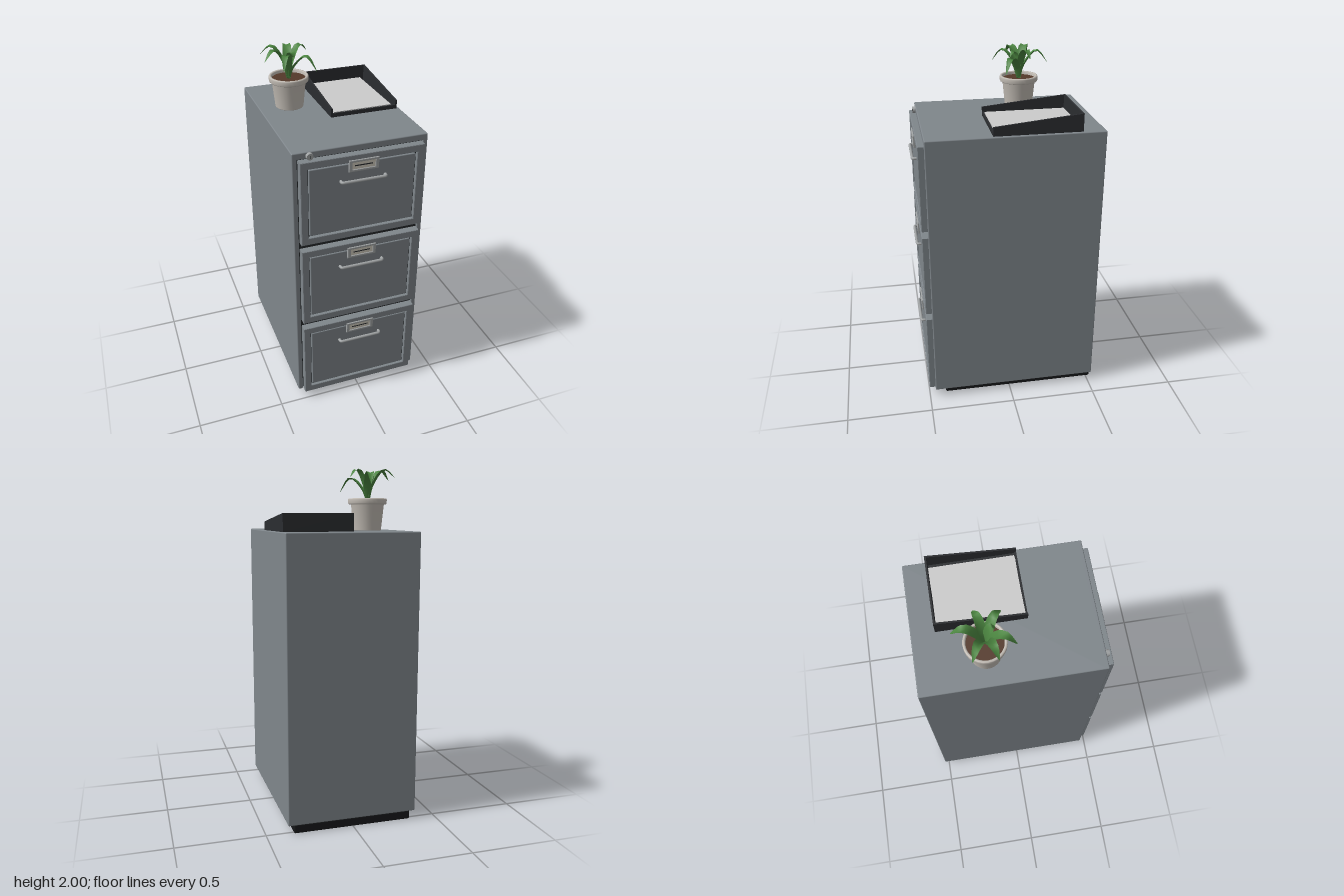
import * as THREE from 'three';
import { RoundedBoxGeometry } from 'three/addons/geometries/RoundedBoxGeometry.js';

const mat = (color, side = THREE.FrontSide) => new THREE.MeshStandardMaterial({ color, side });
const steel = mat(0x7f868b), dark = mat(0x25282b), black = mat(0x17181a), metal = mat(0xa0a3a4);
const card = mat(0xcfcabd), trayMat = mat(0x2b2d30), paper = mat(0xcccccc);
const potMat = mat(0xc4beb6, THREE.DoubleSide), soilMat = mat(0x54392a);
const leafMat = mat(0x4b8540, THREE.DoubleSide);

function add(parent, name, geometry, material, x = 0, y = 0, z = 0) {
  const mesh = new THREE.Mesh(geometry, material);
  mesh.name = name;
  mesh.position.set(x, y, z);
  parent.add(mesh);
  return mesh;
}

// Box given by its extents, with optional rounded edges
function block(parent, name, material, [x0, x1], [y0, y1], [z0, z1], r = 0) {
  const s = [x1 - x0, y1 - y0, z1 - z0];
  const g = r ? new RoundedBoxGeometry(...s, 2, r) : new THREE.BoxGeometry(...s);
  return add(parent, name, g, material, (x0 + x1) / 2, (y0 + y1) / 2, (z0 + z1) / 2);
}

function rect(Type, w, h) {
  const p = new Type();
  p.moveTo(-w / 2, -h / 2).lineTo(w / 2, -h / 2).lineTo(w / 2, h / 2).lineTo(-w / 2, h / 2).closePath();
  return p;
}

// Rectangular frame with slightly bevelled edges, its back at z = 0
function frameGeometry(w, h, iw, ih, depth, bevel) {
  const shape = rect(THREE.Shape, w - 2 * bevel, h - 2 * bevel);
  shape.holes.push(rect(THREE.Path, iw + 2 * bevel, ih + 2 * bevel));
  return new THREE.ExtrudeGeometry(shape, {
    depth: depth - 2 * bevel, bevelThickness: bevel, bevelSize: bevel, bevelSegments: 2,
  }).translate(0, 0, bevel);
}

function createCabinet() {
  const g = new THREE.Group();
  g.name = 'cabinet';
  block(g, 'plinth', black, [-0.345, 0.345], [0, 0.052], [-0.523, 0.4], 0.008);
  block(g, 'body', steel, [-0.378, 0.378], [0.048, 1.656], [-0.525, 0.45], 0.006);
  // Side rails and top rail around the drawer opening
  for (const s of [-1, 1]) {
    block(g, 'sideRail', steel, s < 0 ? [-0.378, -0.35] : [0.35, 0.378], [0.048, 1.656], [0.43, 0.465], 0.006);
  }
  block(g, 'topRail', steel, [-0.378, 0.378], [1.618, 1.656], [0.43, 0.465], 0.006);
  block(g, 'drawerOpening', dark, [-0.352, 0.352], [0.055, 1.622], [0.44, 0.454]);
  // Lock in the upper corner
  const lock = add(g, 'lock', new THREE.CylinderGeometry(0.018, 0.02, 0.02, 20), metal, -0.285, 1.634, 0.473);
  lock.rotation.x = Math.PI / 2;
  block(g, 'keyhole', dark, [-0.287, -0.283], [1.626, 1.642], [0.482, 0.484]);
  return g;
}

function createDrawer() {
  const g = new THREE.Group();
  g.name = 'drawer';
  const w = 0.692, h = 0.494;
  add(g, 'drawerFrame', frameGeometry(w, h, 0.61, 0.41, 0.046, 0.004), steel, 0, 0, 0.454);
  // Dark groove around the recessed panel
  block(g, 'groove', dark, [-0.32, 0.32], [-0.22, 0.22], [0.456, 0.48]);
  block(g, 'recessedPanel', steel, [-0.298, 0.298], [-0.198, 0.198], [0.47, 0.494], 0.005);
  // Label holder over the upper frame edge
  const ly = 0.187;
  add(g, 'labelHolder', frameGeometry(0.168, 0.066, 0.13, 0.04, 0.014, 0.003), metal, 0, ly, 0.493);
  block(g, 'labelCard', card, [-0.07, 0.07], [ly - 0.024, ly + 0.024], [0.488, 0.502]);
  block(g, 'labelLine', dark, [-0.05, 0.05], [ly - 0.003, ly + 0.003], [0.5, 0.503]);
  // Bent bar handle
  const y = 0.105, path = new THREE.CurvePath(), v = (x, z) => new THREE.Vector3(x, y, z);
  path.add(new THREE.LineCurve3(v(-0.125, 0.488), v(-0.125, 0.504)));
  path.add(new THREE.QuadraticBezierCurve3(v(-0.125, 0.504), v(-0.125, 0.517), v(-0.112, 0.517)));
  path.add(new THREE.LineCurve3(v(-0.112, 0.517), v(0.112, 0.517)));
  path.add(new THREE.QuadraticBezierCurve3(v(0.112, 0.517), v(0.125, 0.517), v(0.125, 0.504)));
  path.add(new THREE.LineCurve3(v(0.125, 0.504), v(0.125, 0.488)));
  add(g, 'handle', new THREE.TubeGeometry(path, 80, 0.0085, 10), metal);
  return g;
}

function createTray() {
  const g = new THREE.Group();
  g.name = 'paperTray';
  const y = 1.656, x0 = -0.035, x1 = 0.362, z0 = -0.395, z1 = 0.098, t = 0.01;
  block(g, 'trayFloor', trayMat, [x0, x1], [y, y + 0.01], [z0, z1]);
  block(g, 'trayBack', trayMat, [x0, x1], [y, y + 0.1], [z0, z0 + t]);
  block(g, 'trayLip', trayMat, [x0, x1], [y, y + 0.022], [z1 - t, z1]);
  // Sloping side walls, drawn in profile and turned to run along z
  const side = new THREE.Shape();
  side.moveTo(-z1, 0).lineTo(-z0, 0).lineTo(-z0, 0.1).lineTo(-z1, 0.05).closePath();
  const wall = new THREE.ExtrudeGeometry(side, { depth: t, bevelEnabled: false }).rotateY(Math.PI / 2);
  for (const x of [x0, x1 - t]) add(g, 'traySide', wall, trayMat, x, y, 0);
  // Loose stack of sheets
  [-0.012, 0.02, 0.006].forEach((turn, i) => {
    const sheet = add(g, 'sheet', new THREE.BoxGeometry(0.342, 0.004, 0.468), paper,
      0.153 + 0.003 * i, y + 0.013 + 0.005 * i, -0.149);
    sheet.rotation.y = turn;
  });
  return g;
}

// Arching leaf with a V-shaped cross-section, running out along +x
function leafGeometry(length, peak, tip, width) {
  const curve = new THREE.CatmullRomCurve3([
    [0.006, 0], [length * 0.22, peak * 0.55], [length * 0.62, peak], [length, tip],
  ].map(([x, y]) => new THREE.Vector3(x, y, 0)));
  const n = 10, pos = [], index = [];
  for (let i = 0; i <= n; i++) {
    const t = i / n, p = curve.getPoint(t), d = curve.getTangent(t);
    const half = width / 2 * (t < 0.45 ? 0.4 + 0.6 * Math.sin(t / 0.45 * Math.PI / 2) : Math.cos((t - 0.45) / 0.55 * 1.5));
    for (const s of [-1, 0, 1]) {
      const lift = s ? half * 0.4 : 0;
      pos.push(p.x - d.y * lift, p.y + d.x * lift, s * half);
    }
    if (i < n) for (const k of [0, 1]) {
      const a = i * 3 + k;
      index.push(a, a + 1, a + 3, a + 1, a + 4, a + 3);
    }
  }
  const g = new THREE.BufferGeometry();
  g.setAttribute('position', new THREE.Float32BufferAttribute(pos, 3));
  g.setIndex(index);
  g.computeVertexNormals();
  return g;
}

function createPlant() {
  const g = new THREE.Group();
  g.name = 'pottedPlant';
  g.position.set(-0.2, 1.656, -0.15);
  const profile = [[0, 0], [0.078, 0], [0.081, 0.004], [0.096, 0.148], [0.108, 0.15], [0.112, 0.155],
    [0.113, 0.176], [0.11, 0.183], [0.102, 0.183], [0.098, 0.178], [0.096, 0.15]];
  add(g, 'pot', new THREE.LatheGeometry(profile.map(p => new THREE.Vector2(...p)), 28), potMat);
  add(g, 'soil', new THREE.CylinderGeometry(0.097, 0.094, 0.02, 28), soilMat, 0, 0.155, 0);
  // Leaves: tip x, tip z, peak height, tip height, width
  const leaves = [
    [0.035, -0.162, 0.165, 0.1, 0.052], [-0.14, -0.076, 0.18, 0.135, 0.052], [0.12, -0.042, 0.18, 0.14, 0.05],
    [-0.147, 0.052, 0.178, 0.13, 0.052], [-0.068, 0.15, 0.165, 0.1, 0.052], [0.135, 0.1, 0.135, 0.06, 0.052],
    [0.02, 0.055, 0.16, 0.135, 0.05],
  ];
  for (const [x, z, peak, tip, width] of leaves) {
    const leaf = add(g, 'leaf', leafGeometry(Math.hypot(x, z), peak, tip, width), leafMat, 0, 0.16, 0);
    leaf.rotation.y = Math.atan2(-z, x);
  }
  return g;
}

export function createModel() {
  const model = new THREE.Group();
  model.name = 'filingCabinet';
  model.add(createCabinet());
  for (const y of [0.296, 0.832, 1.368]) {
    const drawer = createDrawer();
    drawer.position.y = y;
    model.add(drawer);
  }
  model.add(createTray(), createPlant());
  return model;
}
